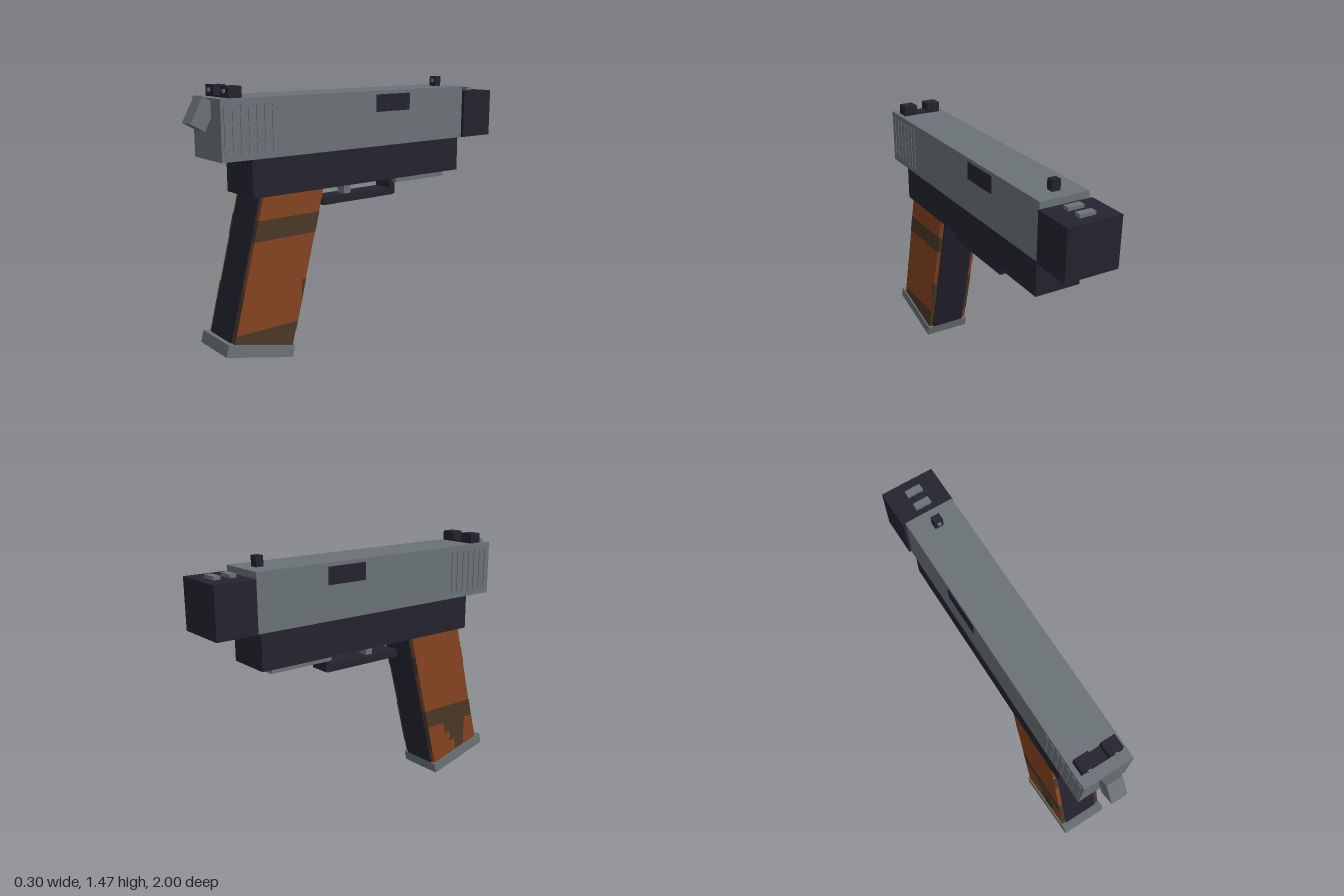
import * as THREE from 'three';

const mat = (name, color) => {
  const m = new THREE.MeshStandardMaterial({ color });
  m.name = name;
  return m;
};

export function createModel() {
  const group = new THREE.Group();
  const steel = mat('steel grey', 0x6b7376);
  const dark = mat('dark polymer', 0x242330);
  const rust = mat('rust orange', 0x874422);
  const olive = mat('olive brown', 0x4b3826);

  // Box from x, y and z ranges
  function box(name, m, [x0, x1], [y0, y1], [z0, z1]) {
    const mesh = new THREE.Mesh(new THREE.BoxGeometry(x1 - x0, y1 - y0, z1 - z0), m);
    mesh.position.set((x0 + x1) / 2, (y0 + y1) / 2, (z0 + z1) / 2);
    mesh.name = name;
    group.add(mesh);
    return mesh;
  }
  // Tilted box centred on the middle plane
  function tilted(name, m, w, h, d, y, z, angle) {
    const mesh = box(name, m, [-w / 2, w / 2], [y - h / 2, y + h / 2], [z - d / 2, z + d / 2]);
    mesh.rotation.x = angle;
  }
  // Side profile given as (z, y) points, extruded between x0 and x1
  function slab(name, m, x0, x1, pts) {
    const shape = new THREE.Shape(pts.map(([z, y]) => new THREE.Vector2(-z, y)));
    const geo = new THREE.ExtrudeGeometry(shape, { depth: x1 - x0, bevelEnabled: false });
    geo.rotateY(Math.PI / 2);
    geo.translate(x0, 0, 0);
    const mesh = new THREE.Mesh(geo, m);
    mesh.name = name;
    group.add(mesh);
  }

  // Slide, frame and muzzle block
  box('slide', steel, [-0.14, 0.14], [1.11, 1.418], [-0.762, 0.89]);
  box('frame', dark, [-0.131, 0.131], [0.91, 1.11], [-0.742, 0.715]);
  box('barrelStub', dark, [-0.08, 0.08], [1.16, 1.34], [-0.78, -0.75]);
  box('muzzleBlock', dark, [-0.152, 0.152], [1.11, 1.385], [-1, -0.77]);
  for (const z of [-0.922, -0.833])
    box('muzzleVent', steel, [-0.045, 0.045], [1.38, 1.403], [z - 0.019, z + 0.019]);

  // Ports and grip ridges on both sides of the slide
  for (const s of [-1, 1]) {
    const x = s > 0 ? [0.138, 0.144] : [-0.144, -0.138];
    box('ejectionPort', dark, x, [1.302, 1.398], [-0.33, -0.085]);
    for (let i = 0; i < 7; i++) {
      const z = 0.585 + i * 0.046;
      box('slideRidge', steel, x, [1.14, 1.385], [z - 0.012, z + 0.012]);
    }
  }

  // Sights with small dots
  box('frontSight', dark, [-0.024, 0.024], [1.415, 1.475], [-0.69, -0.647]);
  box('frontSightDot', steel, [-0.01, 0.01], [1.441, 1.461], [-0.65, -0.639]);
  box('rearSightBase', dark, [-0.04, 0.04], [1.415, 1.428], [0.757, 0.83]);
  for (const s of [-1, 1]) {
    const c = s * 0.075;
    box('rearSight', dark, [c - 0.04, c + 0.04], [1.415, 1.475], [0.755, 0.83]);
    box('rearSightDot', steel, [c - 0.01, c + 0.01], [1.441, 1.461], [0.825, 0.839]);
  }

  // Hammer
  tilted('hammer', steel, 0.09, 0.148, 0.087, 1.342, 0.928, -0.5);

  // Trigger, guard and under-rail
  box('triggerGuard', dark, [-0.06, 0.06], [0.8, 0.84], [-0.285, 0.225]);
  box('guardPost', dark, [-0.06, 0.06], [0.805, 0.912], [-0.297, -0.255]);
  box('trigger', steel, [-0.03, 0.03], [0.84, 0.912], [0.012, 0.058]);
  box('underRail', steel, [-0.09, 0.09], [0.875, 0.912], [-0.665, -0.28]);

  // Slanted grip: edge lines as functions of height
  const slope = 0.255;
  const back = (y) => 0.655 + slope * (0.91 - y);
  const front = (y) => 0.277 + slope * (0.91 - y);
  const top = 0.93;
  slab('gripCore', dark, -0.105, 0.105, [
    [back(top) + 0.01, top], [front(top) - 0.012, top],
    [front(0.05) - 0.012, 0.05], [back(0.148) + 0.01, 0.148],
  ]);
  tilted('basePlate', steel, 0.276, 0.065, 0.42, 0.085, 0.692, -0.25);

  // Grip panels cut into horizontal colour bands
  const bottom = 'bottom';
  const panels = {
    '1': [[bottom, 0.2, olive], [0.2, 0.68, rust], [0.68, 0.79, olive], [0.79, top, rust]],
    '-1': [[bottom, 0.2, rust], [0.2, 0.32, rust], [0.32, 0.43, olive], [0.43, top, rust]],
  };
  for (const s of [1, -1]) {
    const [x0, x1] = s > 0 ? [0.1, 0.13] : [-0.13, -0.1];
    for (const [y0, y1, m] of panels[s]) {
      const yb = y0 === bottom ? 0.15 : y0;
      const yf = y0 === bottom ? 0.055 : y0;
      slab('gripPanelBand', m, x0, x1, [
        [back(y1), y1], [front(y1), y1], [front(yf), yf], [back(yb), yb],
      ]);
    }
    // Painted bands on the narrow panel edges
    for (const [y0, y1] of [[0.15, 0.43], [0.68, 0.79]])
      for (const [edge, d] of [[back, 0.003], [front, -0.003]])
        slab('gripEdgeBand', olive, x0, x1, [
          [edge(y1) + d, y1], [edge(y1), y1], [edge(y0), y0], [edge(y0) + d, y0],
        ]);
  }
  // Painted patches
  slab('gripPatch', olive, 0.129, 0.132, [[0.425, 0.43], [front(0.43), 0.43], [front(0.33), 0.33], [0.425, 0.33]]);
  slab('gripPatch', olive, -0.132, -0.129, [
    [0.74, 0.33], [0.57, 0.33], [0.57, 0.25], [0.62, 0.25], [0.62, 0.19],
    [0.67, 0.19], [0.67, 0.12], [0.74, 0.14],
  ]);
  return group;
}
